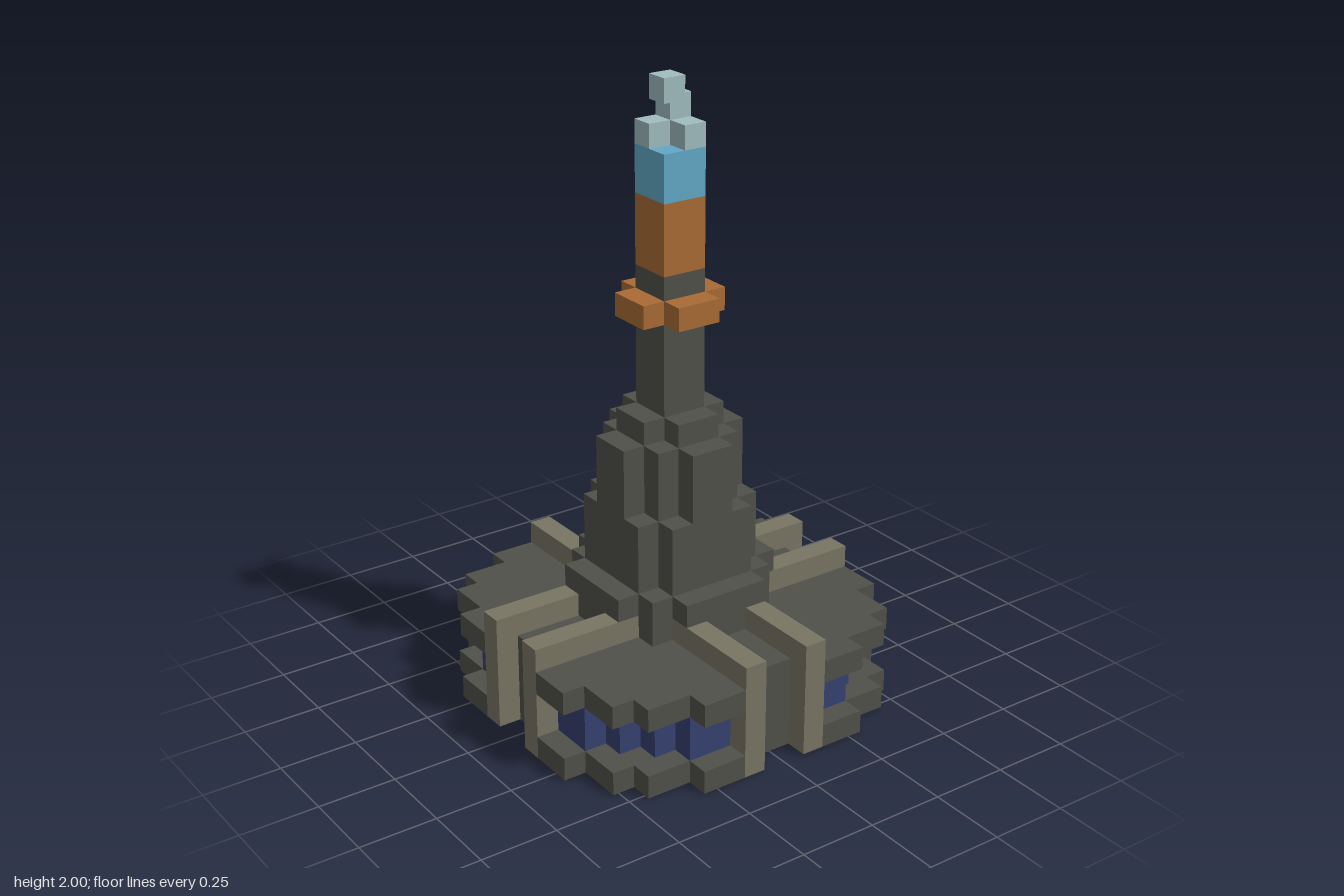
import * as THREE from 'three';

const U = 2 / 27; // one block

const mat = (name, color) => {
  const m = new THREE.MeshStandardMaterial({ color });
  m.name = name;
  return m;
};

export function createModel() {
  const stone = mat('dark stone', 0x50504a);
  const trim = mat('olive trim', 0x787564);
  const glass = mat('navy glass', 0x36416f);
  const copper = mat('copper', 0xa86b34);
  const glow = mat('bright blue', 0x62a9c6);
  const mist = mat('pale blue', 0xa0bcc0);

  const model = new THREE.Group();
  model.name = 'tower';

  // Box from block ranges
  function box(parent, name, m, x0, x1, y0, y1, z0, z1) {
    const g = new THREE.BoxGeometry((x1 - x0) * U, (y1 - y0) * U, (z1 - z0) * U);
    const mesh = new THREE.Mesh(g, m);
    mesh.position.set((x0 + x1) / 2 * U, (y0 + y1) / 2 * U, (z0 + z1) / 2 * U);
    mesh.name = name;
    parent.add(mesh);
  }

  // Centred block with half widths a (x) and b (z)
  const block = (name, m, a, b, y0, y1) => box(model, name, m, -a, a, y0, y1, -b, b);

  // Plus-shaped layer of two crossing blocks
  function cross(name, m, a, b, y0, y1) {
    block(name, m, a, b, y0, y1);
    block(name, m, b, a, y0, y1);
  }

  // Stepped round layer: one quarter outline turned four times
  function disc(name, m, quarter, y0, y1) {
    const pts = [];
    for (let k = 0; k < 4; k++) {
      for (let [x, y] of quarter) {
        for (let i = 0; i < k; i++) [x, y] = [y, -x];
        pts.push(new THREE.Vector2(x * U, y * U));
      }
    }
    const g = new THREE.ExtrudeGeometry(new THREE.Shape(pts), { depth: (y1 - y0) * U, bevelEnabled: false });
    g.rotateX(-Math.PI / 2);
    const mesh = new THREE.Mesh(g, m);
    mesh.position.y = y0 * U;
    mesh.name = name;
    model.add(mesh);
  }

  // Round base with a recessed window band
  const outer = [[2, 3], [2, 8], [4, 8], [4, 7], [6, 7], [6, 6], [7, 6], [7, 4], [8, 4], [8, 2], [3, 2]];
  const inner = [[2, 3], [2, 7], [4, 7], [4, 6], [5, 6], [5, 5], [6, 5], [6, 4], [7, 4], [7, 2], [3, 2]];
  disc('baseFloor', stone, outer, 0, 1);
  disc('windowBand', glass, inner, 1, 3);
  disc('baseRoof', stone, outer, 3, 4);

  // Paired ribs and the wall between them on each side
  for (let k = 0; k < 4; k++) {
    const arm = new THREE.Group();
    arm.name = 'ribPair';
    arm.rotation.y = k * Math.PI / 2;
    box(arm, 'leftRib', trim, 1, 2, 0, 5, 3, 8);
    box(arm, 'rightRib', trim, -2, -1, 0, 5, 3, 8);
    box(arm, 'ribWall', stone, -1, 1, 0, 4, 3, 7);
    box(arm, 'ribWallTop', stone, -1, 1, 4, 5, 3, 4);
    model.add(arm);
  }

  // Stepped tower
  block('towerFoot', stone, 3, 3, 4, 6);
  cross('footCross', stone, 4, 2, 5, 6);
  cross('lowerButtress', stone, 3, 2, 6, 9);
  cross('upperButtress', stone, 3, 1, 9, 12);
  block('towerCore', stone, 2, 2, 9, 12);
  cross('shoulder', stone, 2, 1, 12, 13);
  block('chimney', stone, 1, 1, 13, 19);
  cross('collar', copper, 2, 1, 17, 18);
  block('copperCap', copper, 1, 1, 19, 22);
  block('glowingTip', glow, 1, 1, 22, 24);

  // Rising puffs
  for (const [x, y, z] of [[-1, 24, 0], [0, 24, -1], [-1, 25, -1], [0, 26, 0]]) {
    box(model, 'puff', mist, x, x + 1, y, y + 1, z, z + 1);
  }
  return model;
}
